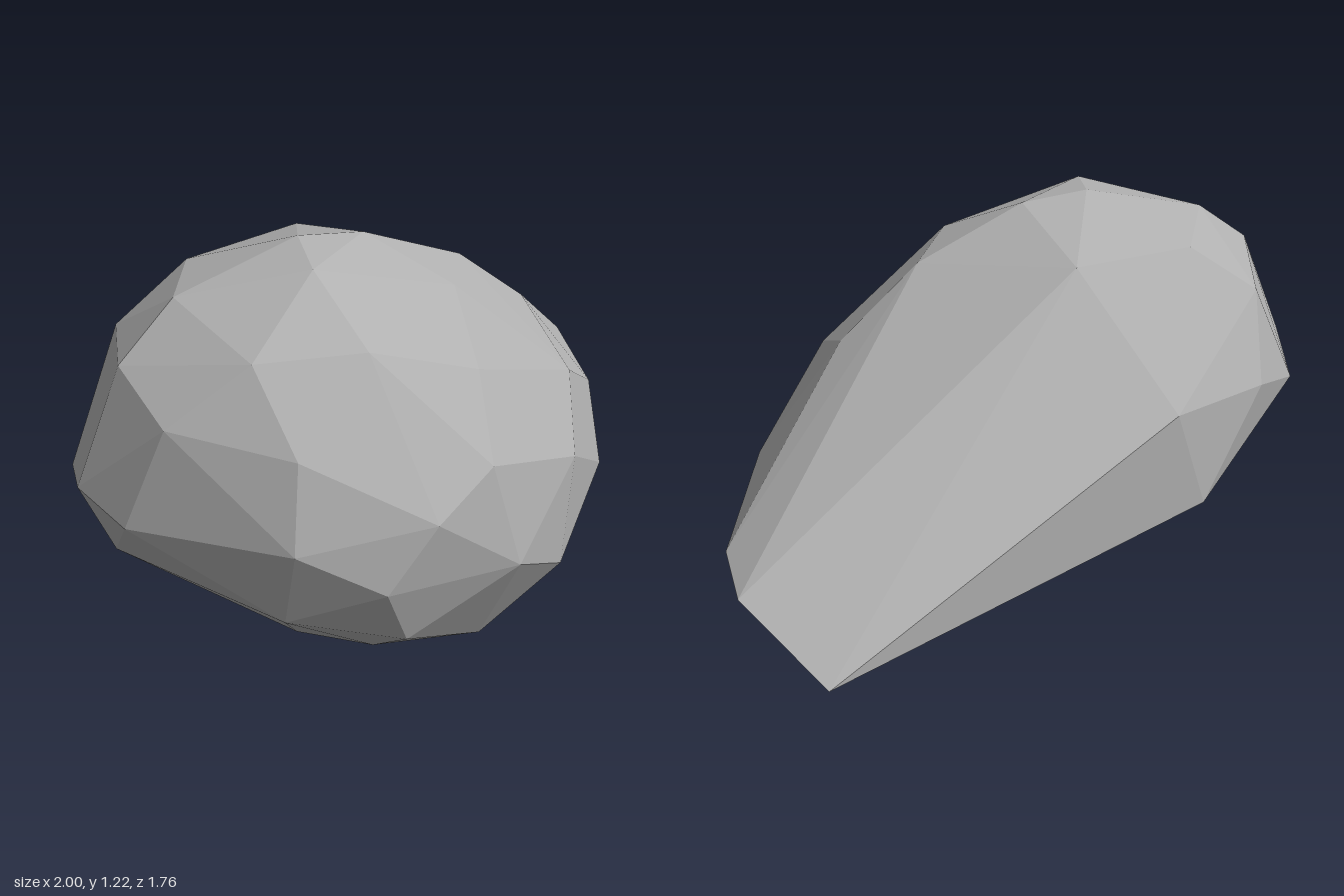
import * as THREE from 'three';
import { ConvexGeometry } from 'three/addons/geometries/ConvexGeometry.js';

const vec = (p) => new THREE.Vector3(...p);

// Lowest tip, where all the underside facets meet
const tip = vec([0.8, 0.26, -0.88]);

// Rim running around the underside
const rim = [
  [1, 0.45, -0.65], [1, 0.48, -0.44], [0.82, 0.51, 0.06], [0.75, 0.31, 0.26],
  [0.39, 0.21, 0.62], [0.14, 0, 0.57], [-0.26, 0.11, 0.65], [-0.42, 0.09, 0.46],
  [-0.91, 0.41, 0.3], [-0.94, 0.55, 0], [-0.48, 0.37, -0.4], [-0.36, 0.72, -0.46],
  [-0.12, 1.12, -0.2],
].map(vec);

// Corners of the rounded crown
const crown = [
  [-0.72, 0.67, -0.25], [-0.75, 0.93, -0.1], [-0.52, 1.1, -0.1],
  [-0.27, 1.22, 0.16], [-0.06, 1.2, 0.16], [0.29, 1.06, 0.11], [0.55, 0.86, 0.05],
  [-0.67, 1.11, 0.2], [-0.86, 0.96, 0.26], [-1, 0.61, 0.26], [-0.93, 0.56, 0.46],
  [-0.82, 0.86, 0.51], [-0.58, 1.03, 0.56], [-0.31, 1.19, 0.36], [0.14, 1.07, 0.36],
  [0.55, 0.72, 0.36], [0.44, 0.55, 0.59], [0.09, 0.91, 0.61], [-0.26, 1.03, 0.62],
  [-0.53, 0.81, 0.75], [0.04, 0.7, 0.8], [-0.17, 0.6, 0.88], [-0.57, 0.56, 0.81],
  [-0.32, 0.41, 0.87], [0.14, 0.36, 0.8], [-0.22, 0.2, 0.79], [-0.56, 0.3, 0.71],
].map(vec);

function rockGeometry() {
  const points = [...rim, ...crown];
  const hull = new ConvexGeometry(points).attributes.position;
  const indexOf = (v) => points.findIndex((p) => p.distanceToSquared(v) < 1e-8);
  const faces = [];
  const edges = new Set();

  // Keep the crown, leaving it open where only rim corners meet
  for (let i = 0; i < hull.count; i += 3) {
    const f = [0, 1, 2].map((k) => indexOf(new THREE.Vector3().fromBufferAttribute(hull, i + k)));
    if (f.every((n) => n < rim.length)) continue;
    faces.push(f);
    f.forEach((a, k) => edges.add(a + '_' + f[(k + 1) % 3]));
  }

  // Close the open underside with a fan to the tip
  for (const edge of edges) {
    const [a, b] = edge.split('_').map(Number);
    if (!edges.has(b + '_' + a)) faces.push([b, a, points.length]);
  }

  const corners = [...points, tip];
  const geometry = new THREE.BufferGeometry().setFromPoints(faces.flat().map((n) => corners[n]));
  geometry.computeVertexNormals();
  return geometry;
}

export function createModel() {
  const stone = new THREE.MeshStandardMaterial({ color: 0xb0b0b0, flatShading: true });
  stone.name = 'stone grey';
  const rock = new THREE.Mesh(rockGeometry(), stone);
  rock.name = 'rock';
  const group = new THREE.Group();
  group.name = 'facetedRock';
  group.add(rock);
  return group;
}
